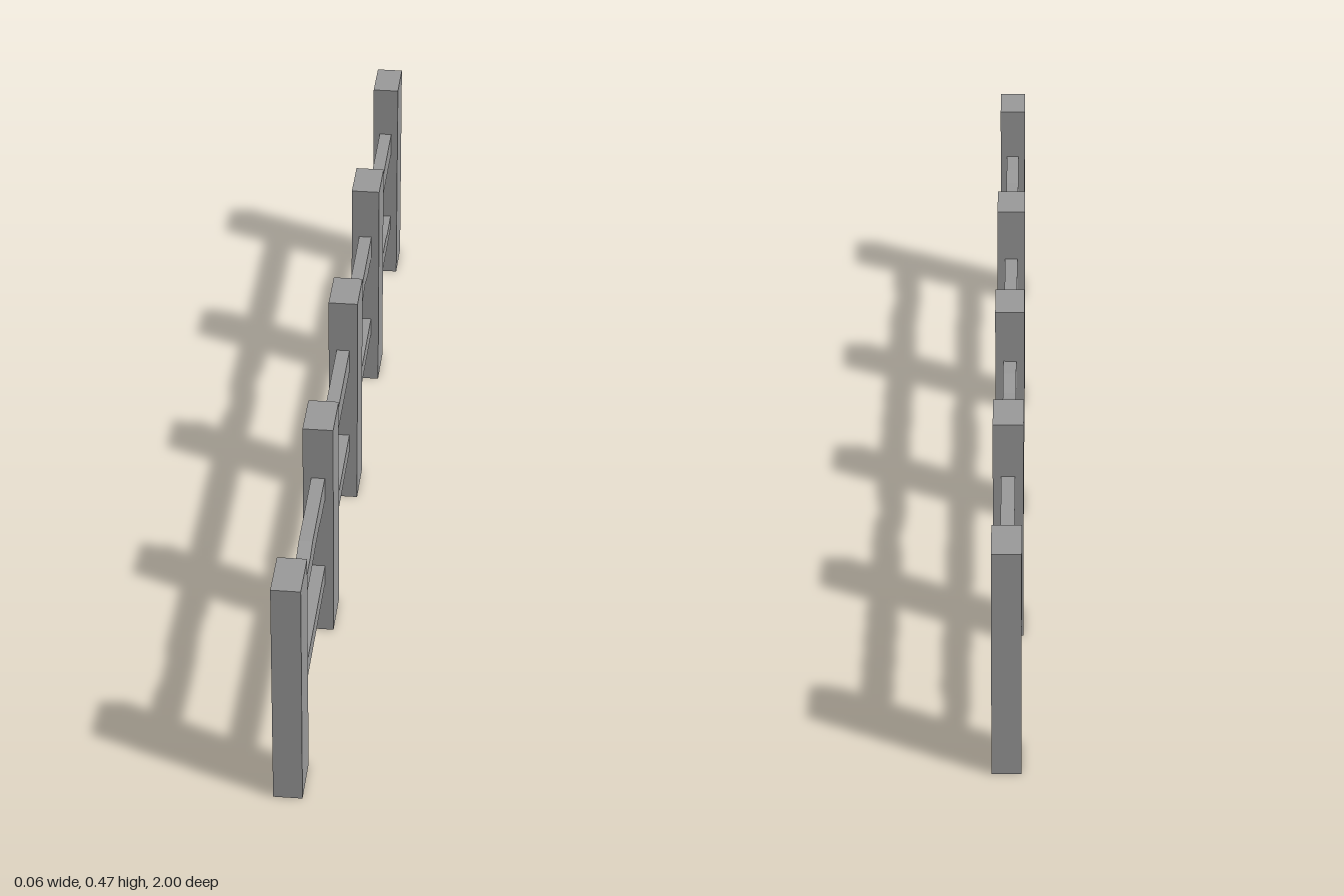
import * as THREE from 'three';

export function createModel() {
  const group = new THREE.Group();
  const material = new THREE.MeshStandardMaterial({ color: 0x9b9b9b, flatShading: true });

  // Five square-cut posts: [z centre, width in x]
  const posts = [[0.95, 0.054], [0.432, 0.058], [-0.029, 0.058], [-0.488, 0.058], [-0.95, 0.054]];
  posts.forEach(([z, width], i) => {
    const post = new THREE.Mesh(new THREE.BoxGeometry(width, 0.465, 0.1), material);
    post.position.set(0, 0.2325, z);
    post.name = 'post' + (i + 1);
    group.add(post);
  });

  // A rail is a side outline (z, y) with worn edges, given thickness in x
  function addRail(name, bottom, top) {
    const outline = [...bottom, ...top.slice().reverse()].map(([z, y]) => new THREE.Vector2(z, y));
    const thickness = 0.026;
    const geometry = new THREE.ExtrudeGeometry(new THREE.Shape(outline), {
      depth: thickness, bevelEnabled: false,
    });
    geometry.translate(0, 0, -thickness / 2);
    geometry.rotateY(-Math.PI / 2);
    const rail = new THREE.Mesh(geometry, material);
    rail.name = name;
    group.add(rail);
  }

  addRail('upperRail',
    [[-0.93, 0.306], [-0.36, 0.306], [-0.3, 0.319], [-0.24, 0.306], [0.54, 0.306],
      [0.58, 0.312], [0.64, 0.312], [0.71, 0.306], [0.93, 0.306]],
    [[-0.93, 0.355], [-0.26, 0.355], [-0.21, 0.343], [-0.19, 0.343], [-0.13, 0.355],
      [0.69, 0.355], [0.73, 0.346], [0.78, 0.346], [0.83, 0.355], [0.93, 0.355]]);

  addRail('lowerRail',
    [[-0.93, 0.113], [0.24, 0.113], [0.31, 0.123], [0.38, 0.113], [0.93, 0.113]],
    [[-0.93, 0.146], [-0.85, 0.143], [-0.82, 0.143], [-0.78, 0.152], [0.32, 0.152],
      [0.35, 0.145], [0.39, 0.152], [0.93, 0.152]]);

  return group;
}
